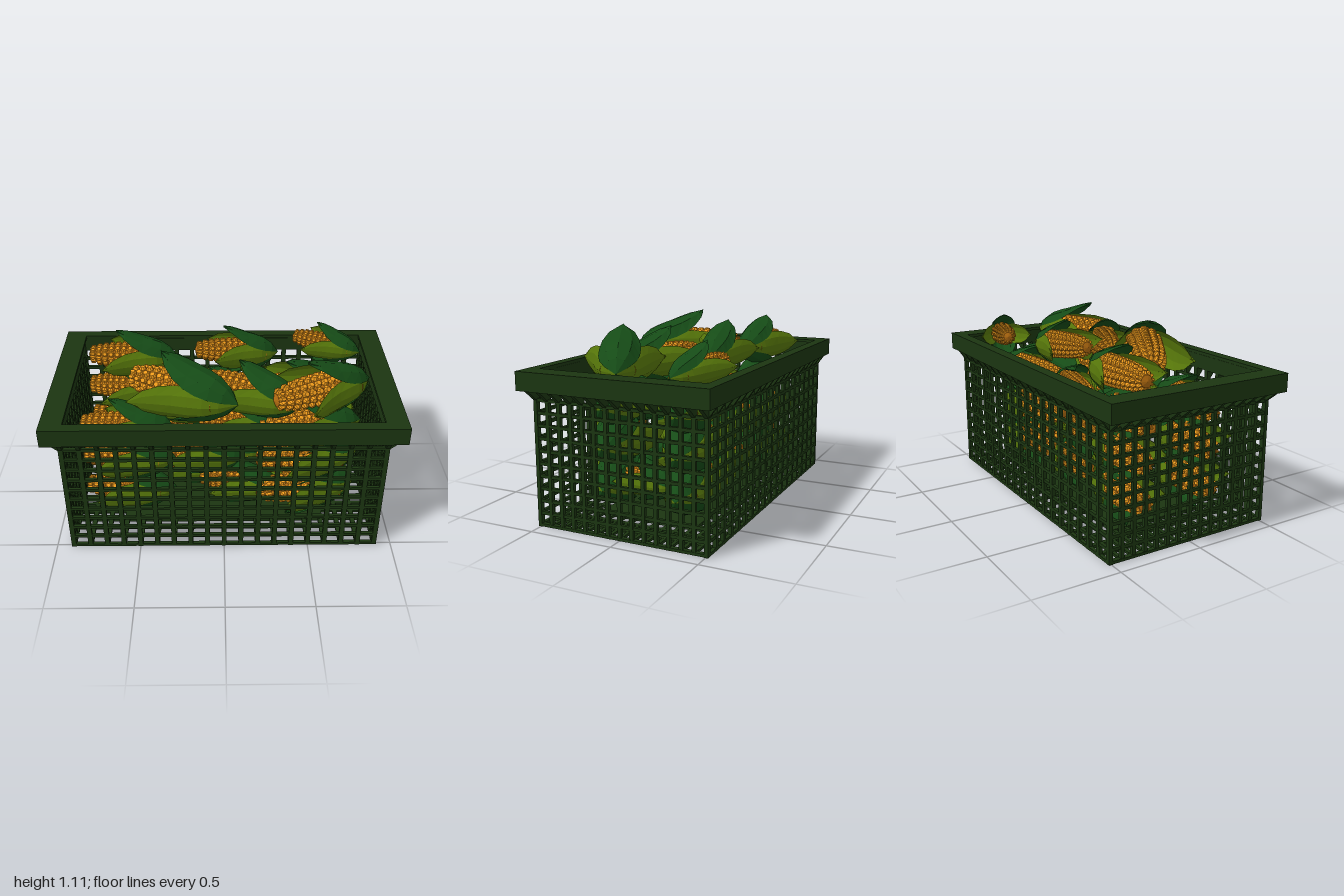
import * as THREE from 'three';
import { mergeGeometries } from 'three/addons/utils/BufferGeometryUtils.js';

const mat = (color) => new THREE.MeshStandardMaterial({ color, flatShading: true, side: THREE.DoubleSide });
const crateMat = mat(0x1b3511), kernelMat = mat(0xf09c1c), cobMat = mat(0xb06a10);
const darkLeafMat = mat(0x164c17), lightLeafMat = mat(0x56760a);

const mesh = (name, geo, material) => {
  const m = new THREE.Mesh(geo, material);
  m.name = name;
  return m;
};
const box = (w, h, d, x, y, z) => new THREE.BoxGeometry(w, h, d).translate(x, y, z);

// Crate half sizes and lattice counts
const X = 0.91, Z = 0.515, NX = 18, NZ = 14, NY = 11, PY = 0.0705, T = 0.022;
const inset = (half, n, i) => -half + T / 2 + (i * (2 * half - T)) / n;

function createCrate() {
  const crate = new THREE.Group();
  crate.name = 'crate';
  const wall = [], floor = [], gussets = [], rim = [];

  // Wall lattice: upright bars and horizontal bars
  for (const s of [-1, 1]) {
    for (let i = 0; i <= NX; i++) wall.push(box(0.028, 0.86, T, inset(X, NX, i), 0.43, s * (Z - T / 2)));
    for (let i = 0; i <= NZ; i++) wall.push(box(T, 0.86, 0.022, s * (X - T / 2), 0.43, inset(Z, NZ, i)));
    for (let j = 0; j <= NY; j++) {
      const y = 0.009 + j * PY;
      wall.push(box(2 * X, 0.018, T * 0.9, 0, y, s * (Z - T / 2)));
      wall.push(box(T * 0.9, 0.018, 2 * Z, s * (X - T / 2), y, 0));
    }
  }
  crate.add(mesh('latticeWalls', mergeGeometries(wall), crateMat));

  // Floor lattice around a solid centre plate
  for (let i = 0; i <= NX; i++) floor.push(box(0.028, 0.016, 2 * Z, inset(X, NX, i), 0.01, 0));
  for (let i = 0; i <= NZ; i++) floor.push(box(2 * X, 0.015, 0.022, 0, 0.01, inset(Z, NZ, i)));
  floor.push(box(1.22, 0.02, 0.6, 0, 0.01, 0));
  crate.add(mesh('floor', mergeGeometries(floor), crateMat));

  // Hollow rim: top flange, outer band and inner band
  const frame = (ox, oz, ix, iz, y0, y1) => {
    const rect = (P, a, b) => {
      const p = new P();
      p.moveTo(-a, -b).lineTo(a, -b).lineTo(a, b).lineTo(-a, b).closePath();
      return p;
    };
    const shape = rect(THREE.Shape, ox, oz);
    shape.holes.push(rect(THREE.Path, ix, iz));
    return new THREE.ExtrudeGeometry(shape, { depth: y1 - y0, bevelEnabled: false })
      .rotateX(-Math.PI / 2).translate(0, y0, 0);
  };
  rim.push(frame(1, 0.56, 0.875, 0.495, 0.862, 0.88));
  rim.push(frame(1, 0.56, 0.988, 0.548, 0.775, 0.862));
  rim.push(frame(X, Z, X - T, Z - T, 0.775, 0.862));
  crate.add(mesh('rim', mergeGeometries(rim), crateMat));

  // Sloping gussets under the rim
  const gusset = (reach) => {
    const s = new THREE.Shape();
    s.moveTo(-0.01, 0.705).lineTo(reach, 0.776).lineTo(reach, 0.865).lineTo(-0.01, 0.865).closePath();
    return new THREE.ExtrudeGeometry(s, { depth: T, bevelEnabled: false }).translate(0, 0, -T / 2);
  };
  for (const s of [0, Math.PI]) {
    for (let i = 0; i <= NZ; i++) gussets.push(gusset(0.08).translate(X, 0, inset(Z, NZ, i)).rotateY(s));
    for (let i = 0; i <= NX; i++)
      gussets.push(gusset(0.04).rotateY(-Math.PI / 2).translate(inset(X, NX, i), 0, Z).rotateY(s));
  }
  crate.add(mesh('gussets', mergeGeometries(gussets), crateMat));
  return crate;
}

// Cob radius along its length, from the base (x = 0) to the tip (x = 0.57)
const LEN = 0.57;
const cobRadius = (x) => 0.09 * Math.sqrt(Math.max(0.02, 1 - Math.pow(x / (LEN + 0.05), 6))) - 0.02 * (x / LEN);

// Faceted pads in rings around the cob
function kernelGeometry() {
  const parts = [], rings = 11, around = 12;
  for (let i = 0; i < rings; i++) {
    const x = 0.15 + (i * (LEN - 0.17)) / (rings - 1), r = cobRadius(x);
    for (let k = 0; k < around; k++) {
      const g = new THREE.CylinderGeometry(0.55, 1, 1, 8, 1);
      g.scale(0.0225, 0.02, ((r + 0.004) * Math.PI) / around * 1.08);
      g.translate(x, r + 0.002, 0).rotateX((k / around) * Math.PI * 2);
      parts.push(g);
    }
  }
  return mergeGeometries(parts);
}

function cobGeometry() {
  const pts = [new THREE.Vector2(0, 0.1)];
  for (let i = 0; i <= 6; i++) {
    const x = 0.1 + (i * (LEN - 0.1)) / 6;
    pts.push(new THREE.Vector2(cobRadius(x), x));
  }
  pts.push(new THREE.Vector2(0, LEN + 0.012));
  return new THREE.LatheGeometry(pts, 10).rotateZ(-Math.PI / 2);
}

// Husk leaf hugging the cob, then peeling away to a point
function leafGeometry({ length, spread, flare, curl }) {
  const rows = 7, cols = 4, pos = [], idx = [];
  for (let i = 0; i <= rows; i++) {
    const t = i / rows;
    const swell = 0.115 * Math.pow(Math.sin(Math.min(1, t / 0.42) * Math.PI / 2), 0.8);
    const r = swell + flare * Math.pow(Math.max(0, t - 0.3) / 0.7, 1.4) - curl * Math.pow(t, 6);
    const half = spread * Math.pow(1 - Math.pow(t, 2.4), 0.9);
    for (let j = 0; j <= cols; j++) {
      const s = (j / cols) * 2 - 1, a = s * half;
      const rr = r * (1 - 0.06 * s * s);
      pos.push(t * length, rr * Math.cos(a), rr * Math.sin(a));
      if (i < rows && j < cols) {
        const p = i * (cols + 1) + j, q = p + cols + 1;
        idx.push(p, p + 1, q, p + 1, q + 1, q);
      }
    }
  }
  const g = new THREE.BufferGeometry();
  g.setAttribute('position', new THREE.Float32BufferAttribute(pos, 3));
  g.setIndex(idx);
  g.computeVertexNormals();
  return g;
}

function createCornMaker() {
  const kernels = kernelGeometry(), cob = cobGeometry();
  const dark = leafGeometry({ length: 0.4, spread: 1.2, flare: 0.085, curl: 0.02 });
  const light = leafGeometry({ length: 0.47, spread: 0.92, flare: 0.1, curl: 0 });
  // Places one ear with its base and tip at the given points
  return (base, tip, roll = 0) => {
    const ear = new THREE.Group();
    ear.name = 'cornEar';
    ear.add(mesh('kernels', kernels, kernelMat), mesh('cob', cob, cobMat));
    for (let k = 0; k < 4; k++) {
      const leaf = k % 2 ? mesh('sideHusk', light, lightLeafMat) : mesh('outerHusk', dark, darkLeafMat);
      leaf.rotation.x = (k * Math.PI) / 2;
      ear.add(leaf);
    }
    const b = new THREE.Vector3(...base), d = new THREE.Vector3(...tip).sub(b);
    ear.rotation.set(roll, Math.atan2(-d.z, d.x), Math.atan2(d.y, Math.hypot(d.x, d.z)), 'YZX');
    ear.position.copy(b);
    ear.scale.setScalar(d.length() / LEN);
    return ear;
  };
}

export function createModel() {
  const model = new THREE.Group();
  model.name = 'crateOfCorn';
  model.add(createCrate());

  const ear = createCornMaker();
  const corn = new THREE.Group();
  corn.name = 'corn';

  // Packed layers: base x, tip x and sideways turn of each ear
  const row = [[-0.28, -0.83, 0.02], [0.36, -0.14, 0.05], [0.81, 0.2, -0.06]];
  [0.22, 0.45, 0.67].forEach((y, layer) => {
    for (const s of [-1, 1])
      row.forEach(([bx, tx, turn], k) => {
        const middle = k === 1;
        // The middle ears sit further back in alternate rows
        const shift = middle ? (layer === 1 ? -0.24 : s < 0 ? -0.1 : 0) : 0;
        const z = s * (middle ? 0.18 : 0.22);
        corn.add(ear([bx + shift, y, z + turn], [tx + shift, y + 0.01, z - turn], s * 0.1));
      });
    // Ear filling the gap between the rows
    corn.add(ear([0.12, y + 0.03, 0.06], [-0.42, y + 0.03, -0.04]));
    // Crosswise ear at the end of the outer layers
    if (layer !== 1) corn.add(ear([0.74, y + 0.05, -0.24], [0.6, y + 0.05, 0.14]));
  });

  // Loose ears heaped on top
  corn.add(
    ear([-0.27, 0.88, -0.22], [-0.81, 0.9, -0.23]),
    ear([0.34, 0.9, -0.25], [-0.16, 0.95, -0.19], 0.1),
    ear([0.85, 0.88, -0.27], [0.45, 0.93, -0.4]),
    ear([0.08, 0.9, 0.35], [-0.53, 0.88, 0.0]),
    ear([0.45, 0.84, 0.27], [-0.08, 0.88, 0.03]),
    ear([0.86, 0.88, 0.03], [0.29, 0.9, 0.3]),
  );
  model.add(corn);
  return model;
}
